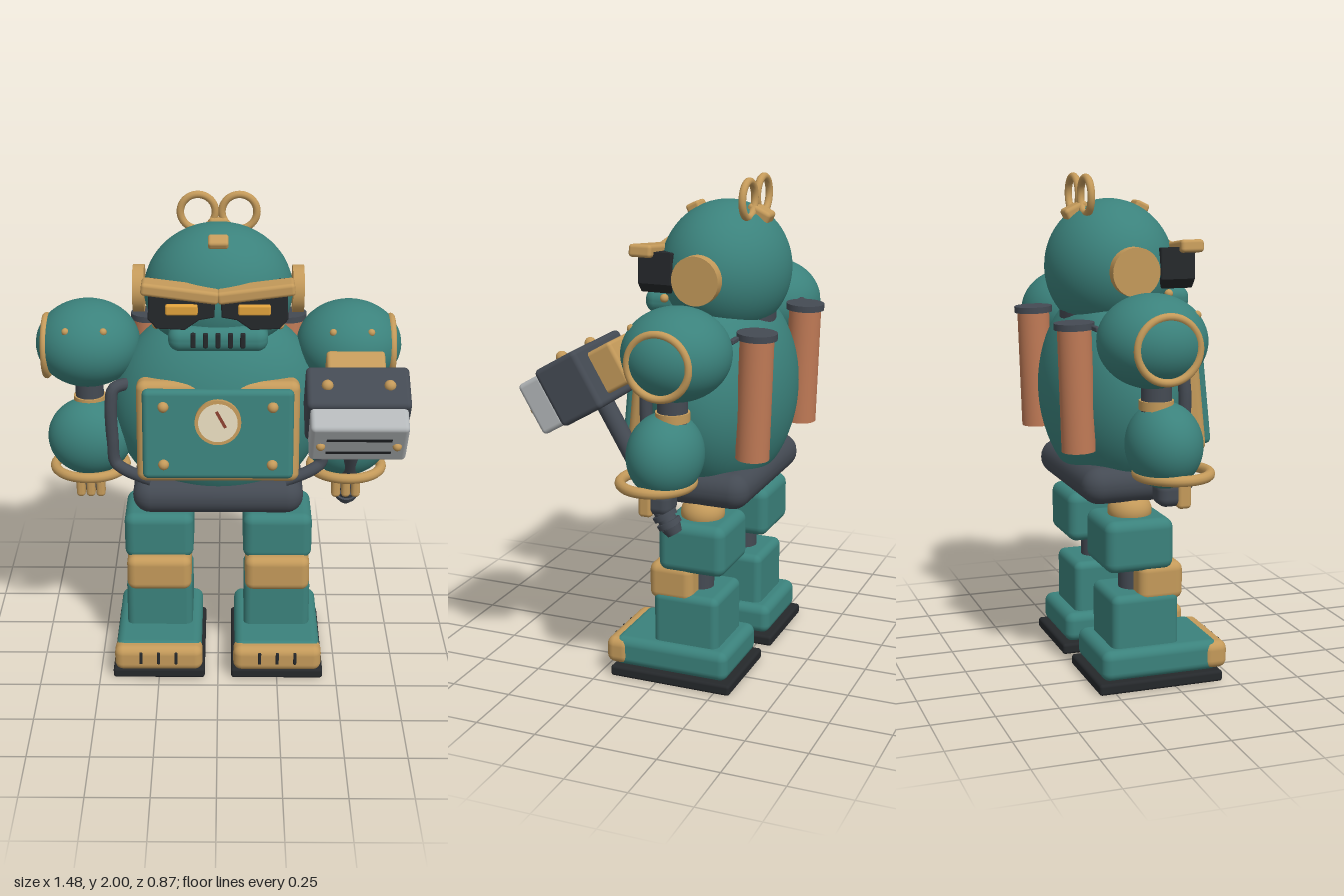
import * as THREE from 'three';
import { RoundedBoxGeometry } from 'three/addons/geometries/RoundedBoxGeometry.js';

const paint = (color) => new THREE.MeshStandardMaterial({ color });
const TEAL = paint(0x3b827c), BRASS = paint(0xc49a5a), DARK = paint(0x444a53), BLACK = paint(0x25282b);
const COPPER = paint(0xc07a56), SILVER = paint(0xb4b8ba), CREAM = paint(0xe6dabd), AMBER = paint(0xe0a23c), RUST = paint(0x8a4030);

function add(parent, name, geometry, material, x, y, z, rx = 0, ry = 0, rz = 0) {
  const mesh = new THREE.Mesh(geometry, material);
  mesh.name = name;
  mesh.position.set(x, y, z);
  mesh.rotation.set(rx, ry, rz);
  parent.add(mesh);
  return mesh;
}
function group(parent, name, x = 0, y = 0, z = 0) {
  const g = new THREE.Group();
  g.name = name;
  g.position.set(x, y, z);
  parent.add(g);
  return g;
}
const rbox = (w, h, d, r = 0.02) => new RoundedBoxGeometry(w, h, d, 4, r);
const box = (w, h, d) => new THREE.BoxGeometry(w, h, d);
const cyl = (r, h, r2 = r) => new THREE.CylinderGeometry(r, r2, h, 32);
const ring = (r, t) => new THREE.TorusGeometry(r, t, 12, 48);
const ball = (rx, ry, rz) => new THREE.SphereGeometry(1, 48, 32).scale(rx, ry, rz);
const rivet = (parent, x, y, z, r = 0.017) => add(parent, 'rivet', new THREE.SphereGeometry(r, 14, 10), BRASS, x, y, z);
const Q = Math.PI / 2;

function buildHead(root) {
  const head = group(root, 'head');
  add(head, 'skull', ball(0.298, 0.27, 0.255), TEAL, 0, 1.63, -0.13);
  add(head, 'crownTab', rbox(0.08, 0.035, 0.06, 0.012), BRASS, 0, 1.867, 0.0, 0.45);
  add(head, 'keyBase', rbox(0.08, 0.07, 0.1, 0.015), BRASS, 0, 1.845, -0.265, -0.45);
  // mouth guard with vertical slots
  add(head, 'mouthGuard', rbox(0.39, 0.1, 0.16, 0.045), TEAL, 0, 1.51, 0.07);
  for (let i = -2; i <= 2; i++) add(head, 'mouthSlot', rbox(0.02, 0.06, 0.02, 0.006), BLACK, i * 0.048, 1.517, 0.147);

  for (const s of [1, -1]) {
    add(head, 'windKeyLoop', ring(0.07, 0.015), BRASS, s * 0.083, 1.915, -0.25);
    add(head, 'earDisc', cyl(0.095, 0.045), BRASS, s * 0.318, 1.635, -0.13, 0, 0, Q);
    add(head, 'brow', rbox(0.3, 0.05, 0.095, 0.014), BRASS, s * 0.146, 1.708, 0.117, 0, 0, s * 0.13);
    const lens = new THREE.Shape([[0.015, 1.69], [0.26, 1.715], [0.265, 1.6], [0.235, 1.565], [0.13, 1.56], [0.075, 1.6], [0.02, 1.61]]
      .map(([x, y]) => new THREE.Vector2(s * x, y)));
    add(head, 'visor', new THREE.ExtrudeGeometry(lens, { depth: 0.13, bevelSize: 0.006, bevelThickness: 0.006, bevelSegments: 2 }), BLACK, 0, 0, 0.0);
    add(head, 'eye', rbox(0.125, 0.042, 0.03, 0.008), AMBER, s * 0.14, 1.64, 0.138);
    rivet(head, s * 0.243, 1.54, 0.035);
  }
}

function buildTorso(root) {
  const torso = group(root, 'torso');
  add(torso, 'body', ball(0.435, 0.43, 0.285), TEAL, 0, 1.14, -0.12);
  add(torso, 'neck', cyl(0.2, 0.1), DARK, 0, 1.47, -0.13);
  add(torso, 'belt', rbox(0.7, 0.148, 0.465, 0.072), DARK, 0, 0.805, -0.107);

  // chest plate leaning back slightly at the top
  const chest = group(torso, 'chestPanel', 0, 1.12, 0.1);
  chest.rotation.x = -0.1;
  add(chest, 'panelFrame', rbox(0.65, 0.42, 0.11, 0.035), BRASS, 0, 0, 0);
  add(chest, 'panelPlate', rbox(0.6, 0.37, 0.06, 0.022), TEAL, 0, 0, 0.053);
  add(chest, 'dialRim', cyl(0.092, 0.03), BRASS, 0, 0.06, 0.088, Q);
  add(chest, 'dialFace', cyl(0.078, 0.034), CREAM, 0, 0.06, 0.09, Q);
  add(chest, 'dialNeedle', box(0.012, 0.075, 0.006), RUST, 0.012, 0.075, 0.108, 0, 0, 0.5);
  for (const x of [-0.216, 0.216]) for (const y of [-0.122, 0.118]) rivet(chest, x, y, 0.083, 0.022);

  for (const s of [1, -1]) {
    // side hose
    const path = [[0.36, 1.27, -0.02], [0.42, 1.26, 0.02], [0.432, 1.2, 0.03], [0.43, 1.05, 0.03], [0.42, 0.94, 0.03], [0.38, 0.915, 0.05], [0.27, 0.88, 0.08]];
    const curve = new THREE.CatmullRomCurve3(path.map(([x, y, z]) => new THREE.Vector3(s * x, y, z)));
    add(torso, 'sideHose', new THREE.TubeGeometry(curve, 40, 0.025, 12), DARK, 0, 0, 0);
    // exhaust on the back
    const pipe = group(torso, 'exhaust', s * 0.29, 1.19, -0.358);
    pipe.rotation.x = -0.03;
    add(pipe, 'exhaustPipe', cyl(0.066, 0.48), COPPER, 0, 0, 0);
    add(pipe, 'exhaustCap', cyl(0.078, 0.025), DARK, 0, 0.247, 0);
    add(torso, 'exhaustBracket', rbox(0.06, 0.02, 0.02, 0.006), DARK, s * 0.39, 1.435, -0.31);
  }
}

function buildArm(root, s) {
  const arm = group(root, s > 0 ? 'leftArm' : 'rightArm', s * 0.53, 0, 0);
  add(arm, 'shoulder', ball(0.212, 0.177, 0.207), TEAL, 0, 1.4, -0.137);
  add(arm, 'shoulderRing', ring(0.12, 0.015), BRASS, s * 0.168, 1.388, -0.133, 0, Q);
  for (const x of [-0.075, 0.075]) rivet(arm, x, 1.5, 0.012, 0.015);
  add(arm, 'upperArm', cyl(0.058, 0.2), DARK, 0, 1.2, -0.12);
  add(arm, 'elbowBand', cyl(0.066, 0.035), BRASS, 0, 1.16, -0.12);
  add(arm, 'forearm', ball(0.175, 0.165, 0.145), TEAL, 0, 1.005, -0.09);
  const cuff = add(arm, 'cuff', ring(0.145, 0.021), BRASS, 0, 0.893, -0.052, Q);
  cuff.scale.y = 0.95;
  // fist gripping around the front
  add(arm, 'fist', rbox(0.11, 0.1, 0.1, 0.035), DARK, 0, 0.82, -0.075);
  for (let i = -1; i <= 1; i++) add(arm, 'finger', rbox(0.037, 0.105, 0.055, 0.016), BRASS, i * 0.041, 0.815, -0.025);
}

function buildHammer(root) {
  const h = group(root, 'hammer', 0.54, 1.28, 0.21);
  h.rotation.x = 0.53;
  add(h, 'hammerBlock', rbox(0.4, 0.235, 0.195, 0.02), DARK, 0, 0, 0);
  add(h, 'hammerFace', rbox(0.375, 0.21, 0.11, 0.018), SILVER, 0, -0.005, 0.14);
  for (const y of [-0.05, 0.03]) add(h, 'faceGroove', box(0.25, 0.014, 0.008), BLACK, 0, y, 0.194);
  add(h, 'hammerBack', rbox(0.23, 0.17, 0.12, 0.015), BRASS, 0, 0, -0.14);
  for (const x of [-0.12, 0.12]) {
    rivet(h, x, 0.117, 0, 0.023);
    rivet(h, x * 1.22, -0.01, 0.195, 0.018);
  }
  add(h, 'handle', cyl(0.036, 0.6), DARK, 0, -0.35, 0);
  for (const y of [-0.595, -0.63]) add(h, 'pommelRing', cyl(0.048, 0.02), DARK, 0, y, 0);
  add(h, 'pommel', cyl(0.04, 0.03, 0.03), DARK, 0, -0.66, 0);
}

function buildLeg(root, s) {
  const leg = group(root, s > 0 ? 'leftLeg' : 'rightLeg', s * 0.25, 0, 0);
  add(leg, 'hip', ball(0.088, 0.075, 0.088), BRASS, 0, 0.69, -0.13);
  add(leg, 'thigh', rbox(0.29, 0.208, 0.28, 0.04), TEAL, 0, 0.572, -0.13);
  add(leg, 'kneeJoint', cyl(0.055, 0.2), DARK, 0, 0.42, -0.12);
  add(leg, 'kneeGuard', rbox(0.272, 0.155, 0.185, 0.035), BRASS, 0, 0.417, -0.04);
  add(leg, 'shin', rbox(0.28, 0.25, 0.275, 0.03), TEAL, 0, 0.25, -0.107);
  // foot, toe cap and sole
  add(leg, 'foot', rbox(0.36, 0.122, 0.49, 0.035), TEAL, 0, 0.105, -0.052);
  add(leg, 'toeCap', rbox(0.37, 0.112, 0.105, 0.035), BRASS, 0, 0.105, 0.172);
  for (let i = -1; i <= 1; i++) add(leg, 'toeSlot', rbox(0.013, 0.055, 0.02, 0.004), BLACK, i * 0.074, 0.115, 0.219);
  add(leg, 'sole', rbox(0.388, 0.045, 0.515, 0.012), BLACK, 0, 0.0225, -0.06);
}

export function createModel() {
  const root = new THREE.Group();
  root.name = 'toyRobot';
  buildHead(root);
  buildTorso(root);
  for (const s of [1, -1]) {
    buildArm(root, s);
    buildLeg(root, s);
  }
  buildHammer(root);
  return root;
}
